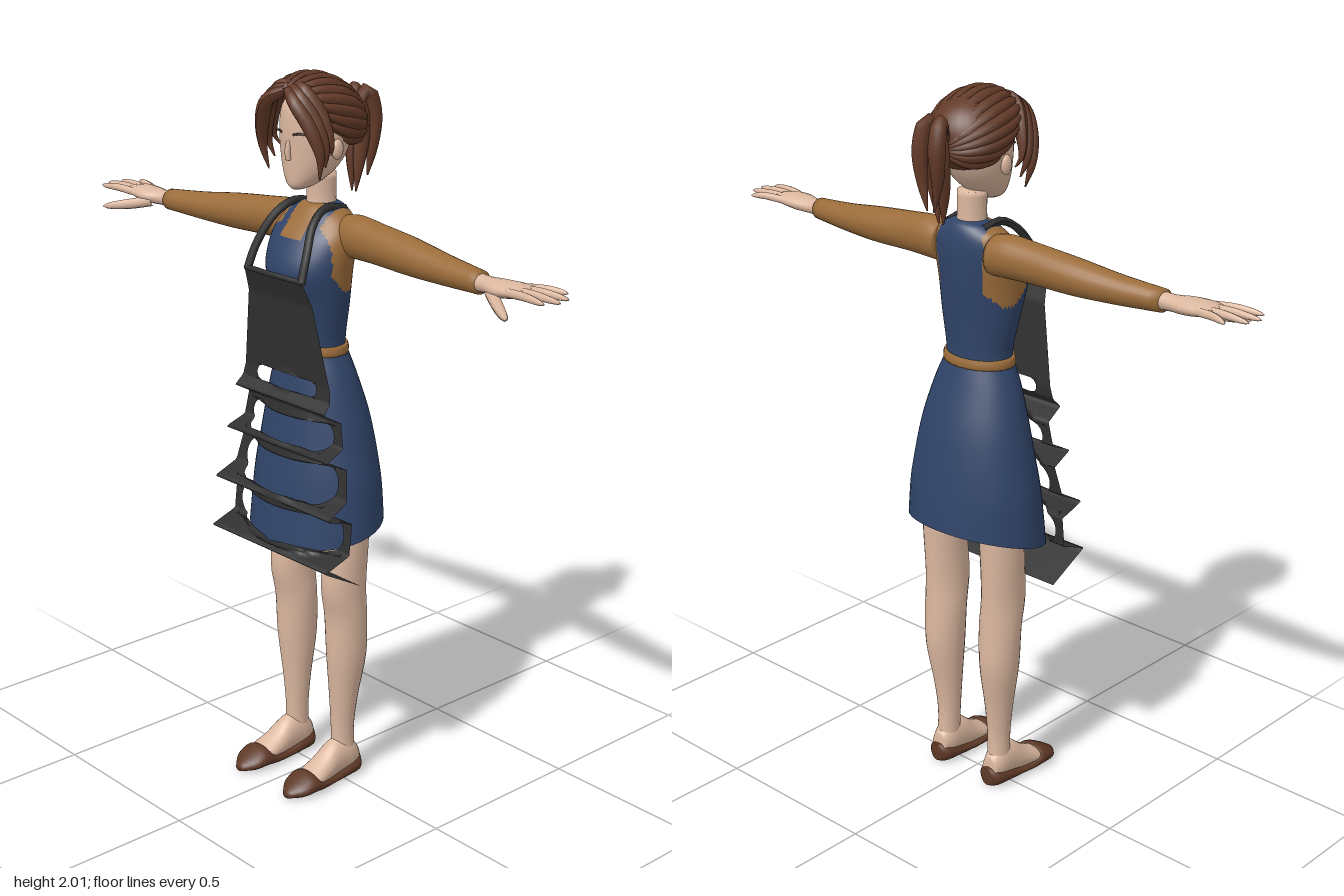
import * as THREE from 'three';

const paint = (name, color, side = THREE.FrontSide) => {
  const m = new THREE.MeshStandardMaterial({ color, side });
  m.name = name;
  return m;
};
const lerp = THREE.MathUtils.lerp, clamp = THREE.MathUtils.clamp;

// Smooth interpolation through rows of numbers
function smoothRows(rows, sub) {
  const out = [], last = rows.length - 1;
  for (let i = 0; i < last; i++) for (let k = 0; k < sub; k++) {
    const t = k / sub, a = rows[Math.max(i - 1, 0)], b = rows[i], c = rows[i + 1], d = rows[Math.min(i + 2, last)];
    out.push(b.map((v, j) => {
      const cubic = 3 * (v - c[j]) + d[j] - a[j], square = 2 * a[j] - 5 * v + 4 * c[j] - d[j];
      return v + 0.5 * t * (c[j] - a[j] + t * (square + t * cubic));
    }));
  }
  out.push(rows[last]);
  return out;
}

// Elliptical cross-sections [s, centre1, centre2, radius1, radius2] along an axis, s increasing
function loft(rows, axis, { n = 24, sub = 4, caps = true } = {}) {
  const R = smoothRows(rows, sub), pos = [], idx = [];
  const put = (s, u, v) => pos.push(...(axis === 'x' ? [s, u, v] : axis === 'y' ? [u, s, v] : [u, v, s]));
  const tri = (a, b, c) => (axis === 'y' ? idx.push(a, c, b) : idx.push(a, b, c));
  R.forEach(([s, u, v, ru, rv]) => {
    for (let j = 0; j < n; j++) {
      const a = j / n * Math.PI * 2;
      put(s, u + ru * Math.cos(a), v + rv * Math.sin(a));
    }
  });
  for (let i = 0; i < R.length - 1; i++) for (let j = 0; j < n; j++) {
    const a = i * n + j, b = i * n + (j + 1) % n;
    tri(a, b, b + n); tri(a, b + n, a + n);
  }
  if (caps) [0, R.length - 1].forEach((i) => {
    const c = pos.length / 3;
    put(R[i][0], R[i][1], R[i][2]);
    for (let j = 0; j < n; j++) {
      const a = i * n + j, b = i * n + (j + 1) % n;
      i ? tri(a, b, c) : tri(b, a, c);
    }
  });
  return build(pos, idx);
}
function build(pos, idx) {
  const g = new THREE.BufferGeometry();
  g.setAttribute('position', new THREE.Float32BufferAttribute(pos, 3));
  g.setIndex(idx);
  g.computeVertexNormals();
  return g;
}
// Rows given as [y, halfWidth, zBack, zFront]
const body = (rows) => rows.map(([y, a, zb, zf]) => [y, 0, (zb + zf) / 2, a, (zf - zb) / 2]);

// Tube whose radius follows a rule of t
function taper(points, radius, seg = 14, n = 8) {
  const curve = new THREE.CatmullRomCurve3(points.map((p) => new THREE.Vector3(...p)));
  const g = new THREE.TubeGeometry(curve, seg, 1, n), p = g.attributes.position, v = new THREE.Vector3();
  for (let i = 0; i <= seg; i++) {
    const c = curve.getPointAt(i / seg);
    for (let j = 0; j <= n; j++) {
      const k = i * (n + 1) + j;
      v.fromBufferAttribute(p, k).sub(c).multiplyScalar(radius(i / seg)).add(c);
      p.setXYZ(k, v.x, v.y, v.z);
    }
  }
  return g;
}
function mirrored(geo) {
  const g = geo.clone().scale(-1, 1, 1), a = g.index.array;
  for (let i = 0; i < a.length; i += 3) [a[i], a[i + 1]] = [a[i + 1], a[i]];
  g.computeVertexNormals();
  return g;
}
// Splits faces into two material groups by a test on their centre
function split(g, test) {
  const p = g.attributes.position, sets = [[], []], a = g.index.array;
  for (let i = 0; i < a.length; i += 3) {
    const t = [a[i], a[i + 1], a[i + 2]], mid = (f) => t.reduce((s, k) => s + p[f](k), 0) / 3;
    sets[test(mid('getX'), mid('getY'), mid('getZ')) ? 1 : 0].push(...t);
  }
  g.setIndex([...sets[0], ...sets[1]]);
  g.addGroup(0, sets[0].length, 0);
  g.addGroup(sets[0].length, sets[1].length, 1);
  return g;
}

const SKIRT = [[0.77, 0.215, -0.165, 0.155], [0.9, 0.205, -0.157, 0.138], [1.0, 0.187, -0.145, 0.122], [1.1, 0.165, -0.125, 0.108],
  [1.2, 0.135, -0.095, 0.095], [1.268, 0.105, -0.075, 0.085]];
function skirtFront(x, y) {
  const k = clamp(SKIRT.findIndex((r) => r[0] >= y), 1, SKIRT.length - 1), A = SKIRT[k - 1], B = SKIRT[k];
  const [, a, zb, zf] = A.map((v, j) => lerp(v, B[j], clamp((y - A[0]) / (B[0] - A[0]), 0, 1)));
  return Math.abs(x) < a ? (zb + zf) / 2 + (zf - zb) / 2 * Math.sqrt(1 - (x / a) ** 2) : -1;
}

// Tiered apron: zigzag side profile with rounded openings
function apronGeometry() {
  const profile = [[1.49, 0.148], [1.42, 0.122], [1.2, 0.1], [1.165, 0.105], [1.14, 0.13], [1.11, 0.075], [1.04, 0.08], [1.015, 0.145],
    [0.985, 0.075], [0.9, 0.09], [0.865, 0.165], [0.84, 0.08], [0.75, 0.09], [0.72, 0.175], [0.65, 0.045]];
  const holes = [[1.21, 1.168, 0.12], [1.098, 1.025, 0.165], [0.985, 0.88, 0.188], [0.846, 0.745, 0.212]];
  const rows = [];
  const fill = (top, bottom, w) => {
    const n = Math.max(2, Math.ceil((top - bottom) / 0.006));
    for (let i = 0; i <= n; i++) { const y = lerp(top, bottom, i / n); rows.push([y, w(y)]); }
  };
  let y0 = 1.49;
  for (const [top, bottom, hw] of holes) {
    const r = (top - bottom) / 2, mid = (top + bottom) / 2;
    fill(y0, top, () => 0);
    fill(top, bottom, (y) => hw - r + Math.sqrt(Math.max(0, r * r - (y - mid) ** 2)));
    y0 = bottom;
  }
  fill(y0, 0.65, () => 0);
  const N = 16, pos = [], idx = [];
  for (const s of [-1, 1]) {
    const base = pos.length / 3;
    rows.forEach(([y, w], i) => {
      const k = clamp(profile.findIndex((p) => p[0] <= y + 1e-9), 1, profile.length - 1), A = profile[k - 1], B = profile[k];
      const z = lerp(A[1], B[1], clamp((A[0] - y) / (A[0] - B[0]), 0, 1));
      const W = y > 0.85 ? lerp(0.24, 0.115, (y - 0.85) / 0.64) : 0.24;
      for (let j = 0; j <= N; j++) {
        const x = s * lerp(w, W, j / N);
        pos.push(x, y, y > 0.73 && y < 1.25 ? Math.max(z, skirtFront(x, y) + 0.012) : z);
        if (i && j) {
          const d = base + i * (N + 1) + j, c = d - 1, b = d - N - 1, a = b - 1;
          s > 0 ? idx.push(a, c, d, a, d, b) : idx.push(a, d, c, a, b, d);
        }
      }
    });
  }
  return build(pos, idx);
}

export function createModel() {
  const root = new THREE.Group();
  const skin = paint('skin', 0xdbb79f), tan = paint('tan shirt', 0x9b6c3a), blue = paint('blue dress', 0x304469, THREE.DoubleSide);
  const black = paint('black apron', 0x303030, THREE.DoubleSide), brown = paint('brown hair', 0x633a28), leather = paint('shoe leather', 0x5e3826);
  const dark = paint('brow', 0x3a251c);
  const add = (name, geo, mat) => {
    const m = new THREE.Mesh(geo, mat);
    m.name = name;
    root.add(m);
  };
  const pair = (name, geo, mat) => { add(name + 'Left', geo, mat); add(name + 'Right', mirrored(geo), mat); };

  // Dress bodice with shirt showing at the armholes and neckline
  const torso = loft(body([[1.25, 0.105, -0.072, 0.085], [1.3, 0.1, -0.07, 0.082], [1.4, 0.118, -0.076, 0.1], [1.49, 0.13, -0.085, 0.125],
    [1.57, 0.135, -0.09, 0.095], [1.62, 0.118, -0.088, 0.055], [1.652, 0.075, -0.078, 0.03], [1.665, 0.035, -0.06, 0.01]]), 'y', { n: 60, sub: 8 });
  const showsShirt = (x, y, z) => {
    const armhole = y > 1.44 && Math.abs(x) > 0.075 && Math.abs(z + 0.01) < Math.min(0.06, (y - 1.42) * 0.9);
    return armhole || (z > 0 && Math.abs(x) < 0.042 && y > 1.58);
  };
  add('bodice', split(torso, showsShirt), [blue, tan]);
  add('belt', loft(body([[1.262, 0.109, -0.077, 0.088], [1.275, 0.11, -0.078, 0.088], [1.288, 0.106, -0.075, 0.086]]), 'y', { sub: 2 }), tan);

  // Skirt with a hem that drops toward the front
  const skirt = loft(body(SKIRT), 'y', { n: 40, sub: 5, caps: false }), sp = skirt.attributes.position;
  for (let i = 0; i < sp.count; i++) {
    const y = sp.getY(i);
    sp.setY(i, y - sp.getZ(i) * 0.25 * clamp((0.95 - y) / 0.18, 0, 1));
  }
  skirt.computeVertexNormals();
  add('skirt', skirt, blue);

  // Apron, top hem and shoulder straps
  add('apron', apronGeometry(), black);
  add('apronTopHem', taper([[-0.115, 1.488, 0.142], [0, 1.49, 0.15], [0.115, 1.488, 0.142]], () => 0.008), black);
  pair('apronStrap', taper([[0.108, 1.485, 0.143], [0.1, 1.55, 0.118], [0.078, 1.625, 0.075], [0.064, 1.658, 0.02], [0.062, 1.648, -0.05]], () => 0.011), black);

  // Arms and hands
  pair('sleeve', loft([[0.09, 1.583, -0.03, 0.055, 0.05], [0.14, 1.587, -0.028, 0.058, 0.052], [0.22, 1.584, -0.024, 0.054, 0.05],
    [0.35, 1.576, -0.018, 0.049, 0.049], [0.48, 1.569, -0.008, 0.039, 0.041], [0.615, 1.566, 0.005, 0.03, 0.031]], 'x'), tan);
  pair('palm', loft([[0.6, 1.566, 0.005, 0.024, 0.025], [0.64, 1.566, 0.007, 0.021, 0.027], [0.69, 1.568, 0.012, 0.022, 0.043],
    [0.74, 1.572, 0.01, 0.018, 0.045], [0.775, 1.574, 0.008, 0.01, 0.04]], 'x', { n: 16 }), skin);
  const finger = (t) => 0.0115 * Math.sqrt(Math.max(0.002, 1 - t ** 3));
  [[0.045, 0.872, 0.062], [0.022, 0.89, 0.025], [-0.003, 0.882, -0.014], [-0.024, 0.842, -0.055]].forEach(([z, x, tip], i) =>
    pair('finger' + (i + 1), taper([[0.74, 1.573, z], [0.8, 1.577, lerp(z, tip, 0.5)], [x, 1.574, tip]], finger), skin));
  pair('thumb', taper([[0.67, 1.556, 0.03], [0.73, 1.542, 0.068], [0.8, 1.53, 0.113]], (t) => 1.35 * finger(t)), skin);

  // Legs, feet and flat shoes
  pair('leg', loft([[0.06, 0.1, -0.02, 0.032, 0.036], [0.15, 0.098, -0.018, 0.032, 0.034], [0.25, 0.1, -0.02, 0.04, 0.042],
    [0.38, 0.105, -0.025, 0.055, 0.058], [0.5, 0.105, -0.022, 0.06, 0.06], [0.6, 0.107, -0.012, 0.057, 0.068], [0.75, 0.108, -0.02, 0.06, 0.066],
    [0.95, 0.1, -0.02, 0.07, 0.075]], 'y'), skin);
  pair('foot', loft([[-0.062, 0.1, 0.05, 0.025, 0.035], [-0.03, 0.1, 0.062, 0.036, 0.056], [0.02, 0.1, 0.062, 0.038, 0.056],
    [0.07, 0.102, 0.044, 0.042, 0.038], [0.12, 0.104, 0.03, 0.045, 0.025], [0.16, 0.104, 0.022, 0.035, 0.016]], 'z'), skin);
  const shoe = loft([[-0.072, 0.1, 0.03, 0.02, 0.026], [-0.055, 0.1, 0.028, 0.038, 0.03], [-0.02, 0.1, 0.024, 0.043, 0.026], [0.04, 0.1, 0.016, 0.045, 0.017],
    [0.09, 0.102, 0.019, 0.051, 0.021], [0.125, 0.104, 0.028, 0.053, 0.031], [0.165, 0.104, 0.02, 0.046, 0.022], [0.2, 0.104, 0.01, 0.014, 0.009]], 'z');
  const fp = shoe.attributes.position;
  for (let i = 0; i < fp.count; i++) fp.setY(i, Math.max(0, fp.getY(i)));
  shoe.computeVertexNormals();
  pair('shoe', shoe, leather);

  // Head and face
  add('neck', loft(body([[1.6, 0.055, -0.07, 0.03], [1.66, 0.041, -0.063, 0.016], [1.74, 0.04, -0.063, 0.018]]), 'y'), skin);
  add('head', loft(body([[1.706, 0.015, 0.035, 0.075], [1.72, 0.04, 0, 0.085], [1.755, 0.07, -0.05, 0.088], [1.8, 0.088, -0.085, 0.09],
    [1.86, 0.095, -0.11, 0.093], [1.92, 0.085, -0.11, 0.088], [1.96, 0.05, -0.07, 0.06]]), 'y', { n: 32 }), skin);
  add('nose', taper([[0, 1.845, 0.086], [0, 1.81, 0.093], [0, 1.785, 0.09]], (t) => 0.004 + 0.009 * t * (1.4 - t)), skin);
  pair('ear', new THREE.SphereGeometry(1, 12, 8).scale(0.012, 0.027, 0.018).translate(0.094, 1.815, 0.005), skin);
  pair('brow', taper([[0.02, 1.853, 0.092], [0.042, 1.857, 0.086], [0.065, 1.852, 0.072]], () => 0.003, 8, 5), dark);

  // Hair: a cap covered by strands swept back to the tie
  add('hairCap', new THREE.SphereGeometry(1, 28, 20).scale(0.108, 0.1, 0.108).translate(0, 1.888, -0.03), brown);
  for (let k = -8; k <= 8; k++) {
    const phi = k / 8 * 2.25, low = Math.max(0, Math.abs(phi) - 1.1), pts = [];
    for (let i = 0; i <= 8; i++) {
      const t = lerp(0.35 + low * 0.9, 3.05, i / 8), s = Math.sin(t);
      pts.push([0.108 * Math.sin(phi) * s, 1.898 + 0.088 * Math.cos(phi) * s + 0.035 * Math.cos(t), -0.015 + 0.118 * Math.cos(t)]);
    }
    add('hairStrand' + (k + 9), taper(pts, (t) => 0.006 + 0.013 * Math.sin(Math.PI * t)), brown);
  }
  const bangRadius = (t) => 0.002 + 0.018 * Math.sin(Math.PI * Math.min(1, t * 0.8 + 0.2));
  for (let i = 0; i < 3; i++) {
    const path = [[0.004, 1.965 + i * 0.006, 0.095 - i * 0.015], [0.05, 1.942 + i * 0.012, 0.113 - i * 0.018],
      [0.092, 1.885 + i * 0.012, 0.1 - i * 0.02], [0.113, 1.81 + i * 0.01, 0.082 - i * 0.02], [0.1, 1.745 + i * 0.03, 0.072 - i * 0.02]];
    pair('bang' + (i + 1), taper(path, bangRadius, 18), brown);
  }
  add('hairTie', new THREE.SphereGeometry(0.028, 14, 10).translate(0, 1.9, -0.138), brown);
  const tail = (t) => 0.002 + 0.021 * Math.sin(Math.PI * (0.2 + 0.8 * t));
  pair('ponytailOuter', taper([[0.012, 1.9, -0.14], [0.022, 1.94, -0.165], [0.028, 1.88, -0.183], [0.026, 1.78, -0.18], [0.012, 1.71, -0.178]], tail, 18), brown);
  pair('ponytailInner', taper([[0.008, 1.895, -0.135], [0.012, 1.91, -0.15], [0.016, 1.84, -0.155], [0.014, 1.75, -0.145], [0.008, 1.67, -0.14]], tail, 18), brown);
  return root;
}
